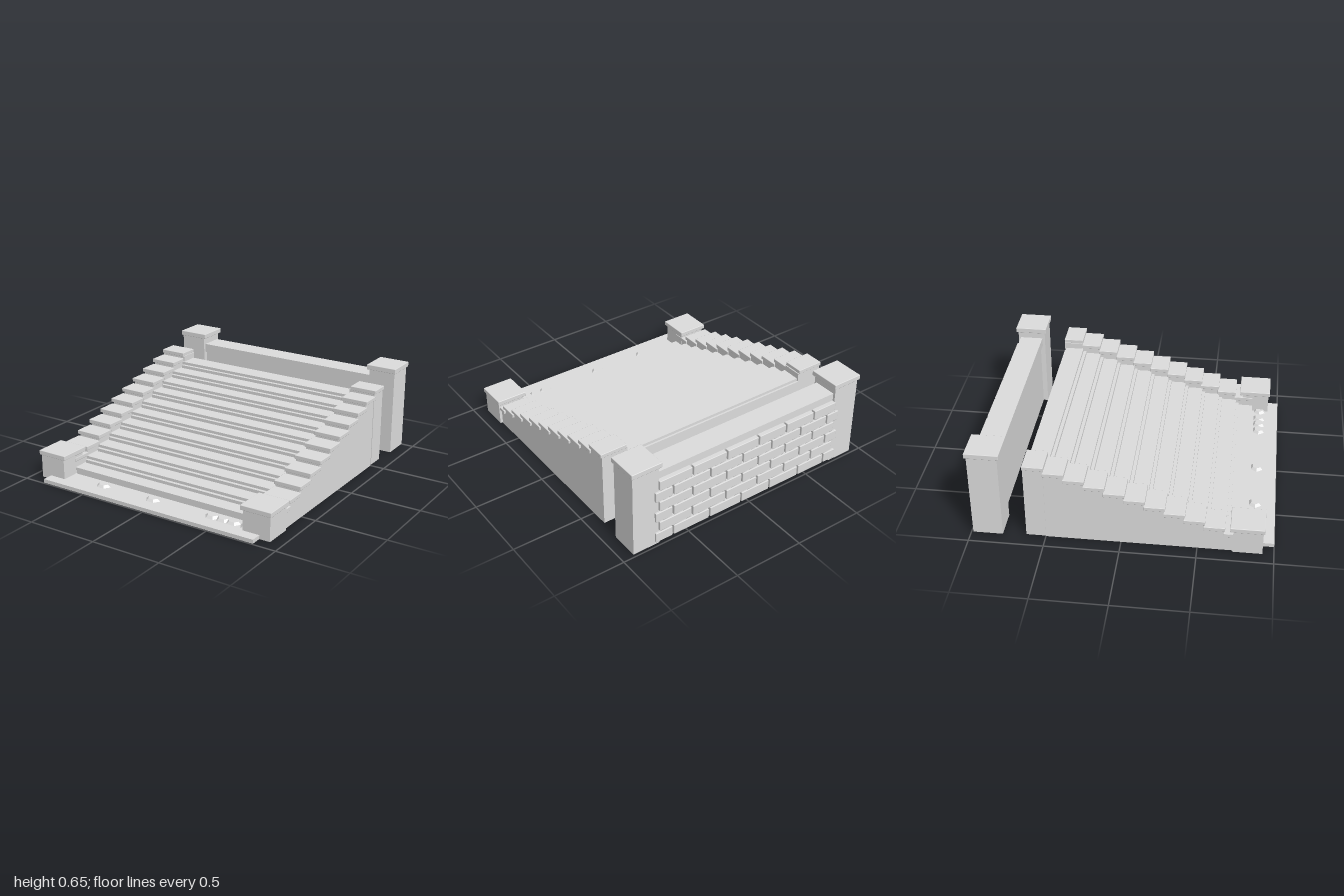
import * as THREE from 'three';
import { RoundedBoxGeometry } from 'three/addons/geometries/RoundedBoxGeometry.js';

const STEPS = 11, RUN = 0.13, RISE = 0.042;

export function createModel() {
  const root = new THREE.Group();
  root.name = 'stoneStaircase';
  const stone = new THREE.MeshStandardMaterial({ color: 0xdcdcdc });
  stone.name = 'pale grey stone';

  const add = (name, geometry, parent = root) => {
    const mesh = new THREE.Mesh(geometry, stone);
    mesh.name = name;
    parent.add(mesh);
    return mesh;
  };

  // Box given by its limits; a radius softens the edges
  const block = (name, x0, x1, y0, y1, z0, z1, radius = 0, parent = root) => {
    const size = [x1 - x0, y1 - y0, z1 - z0];
    const geometry = radius
      ? new RoundedBoxGeometry(...size, 1, radius)
      : new THREE.BoxGeometry(...size);
    const mesh = add(name, geometry, parent);
    mesh.position.set((x0 + x1) / 2, (y0 + y1) / 2, (z0 + z1) / 2);
  };

  // Side outline in (z, y), extruded across x
  const sideExtrude = (name, points, x0, x1, parent = root) => {
    const shape = new THREE.Shape(points.map(([z, y]) => new THREE.Vector2(-z, y)));
    const geometry = new THREE.ExtrudeGeometry(shape, { depth: x1 - x0, bevelEnabled: false });
    geometry.rotateY(Math.PI / 2);
    geometry.translate(x0, 0, 0);
    add(name, geometry, parent);
  };

  // Core of the flight, with a wider tread slab set slightly back on each riser
  const core = [[-0.633, 0.005], [0.804, 0.005]];
  for (let i = 0; i < STEPS; i++) {
    const tread = 0.81 - RUN * i, top = 0.036 + RISE * (i + 1);
    const riser = i > 0 ? tread + 0.023 : 0.804;
    if (i > 0) core.push([riser, top - RISE - 0.02]);
    core.push([riser, top - 0.02]);
    block('tread', -0.727, 0.727, top - 0.02, top, Math.max(tread - RUN, -0.634), i > 0 ? tread : 0.805);
  }
  core.push([-0.633, 0.036 + RISE * STEPS - 0.02]);
  sideExtrude('stairCore', core, -0.712, 0.712);

  // Landing slab at the foot
  block('landing', -0.84, 0.84, 0.005, 0.032, 0.75, 1.0);

  for (const side of [1, -1]) {
    const group = new THREE.Group();
    group.name = side > 0 ? 'leftBalustrade' : 'rightBalustrade';
    root.add(group);
    const sideBlock = (name, x0, x1, ...rest) =>
      block(name, Math.min(side * x0, side * x1), Math.max(side * x0, side * x1), ...rest, group);

    // Stepped side wall and its cap stones
    const wall = [[-0.5, 0], [0.8, 0]];
    for (let i = 0; i < STEPS; i++) {
      const front = 0.807 - RUN * i, top = 0.145 + RISE * i;
      if (i < STEPS - 1) {
        wall.push([front - 0.01, top - 0.026], [front - RUN - 0.01, top - 0.026]);
      }
      sideBlock('capStone', 0.717, 0.912, top - 0.027, top, front - 0.14, front, 0.003);
    }
    sideExtrude('sideWall', wall, side > 0 ? 0.724 : -0.898, side > 0 ? 0.898 : -0.724, group);
    sideBlock('upperPost', 0.71, 0.902, 0.008, 0.54, -0.63, -0.498, 0);

    // Short front pillar
    sideBlock('frontPillar', 0.72, 0.917, 0.005, 0.178, 0.73, 0.925, 0);
    sideBlock('frontPillarCap', 0.703, 0.928, 0.172, 0.205, 0.71, 0.935, 0.004);

    // Tall back pillar
    sideBlock('backPillar', 0.72, 0.917, 0.008, 0.62, -0.985, -0.785, 0);
    sideBlock('backPillarCap', 0.703, 0.928, 0.612, 0.648, -0.998, -0.772, 0.004);
  }

  // Back wall with coping
  block('backWall', -0.73, 0.73, 0.008, 0.51, -0.968, -0.82);
  block('backWallCoping', -0.722, 0.722, 0.498, 0.562, -0.968, -0.804);

  // Staggered brick facing on the back, alternate rows lapping over the pillars
  const bricks = new THREE.Group();
  bricks.name = 'brickFacing';
  root.add(bricks);
  const joints = [
    [-0.725, -0.53, -0.29, -0.06, 0.2, 0.47, 0.73],
    [-0.76, -0.65, -0.42, -0.17, 0.07, 0.33, 0.62, 0.76],
  ];
  for (let row = 0; row < 6; row++) {
    const top = 0.508 - 0.081 * row;
    const ends = joints[row % 2];
    for (let i = 0; i < ends.length - 1; i++) {
      block('brick', ends[i] + 0.006, ends[i + 1] - 0.006, top - 0.072, top, -1, -0.965, 0.004, bricks);
    }
  }

  // Small flat pebbles on the landing
  for (const x of [-0.425, -0.012, 0.455, 0.54, 0.615, 0.72]) {
    const geometry = new THREE.CylinderGeometry(0.036, 0.058, 0.018, 6).toNonIndexed();
    geometry.rotateY(Math.PI / 2);
    geometry.scale(1, 1, 0.85);
    geometry.computeVertexNormals();
    add('pebble', geometry).position.set(x, 0.039, 0.863);
  }

  return root;
}
